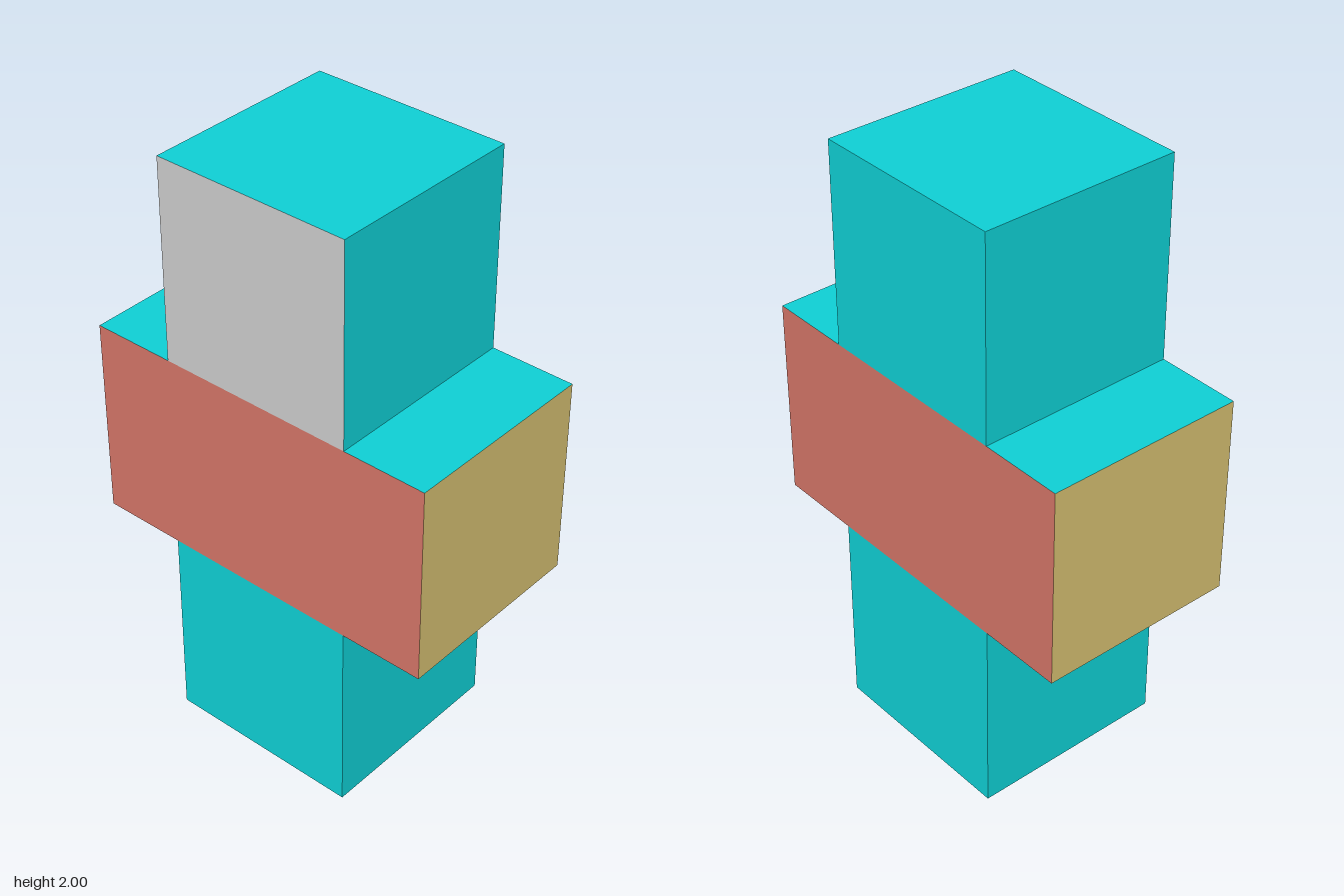
import * as THREE from 'three';

const paint = (color) => new THREE.MeshStandardMaterial({ color });

export function createModel() {
  const model = new THREE.Group();
  model.name = 'stackedFigure';

  const teal = paint(0x0fcfd4);
  const red = paint(0xd37567);
  const ochre = paint(0xd3be70);
  const grey = paint(0xcccccc);

  const S = 2 / 3; // height and depth of every block

  // One block of the stack; face materials run +x, -x, +y, -y, +z, -z
  function block(name, level, width, faces) {
    const mesh = new THREE.Mesh(new THREE.BoxGeometry(width, S, S), faces);
    mesh.name = name;
    mesh.position.y = (level + 0.5) * S;
    model.add(mesh);
  }

  // Plain base
  block('legs', 0, S, teal);
  // Wide middle: red front and back, ochre ends
  block('torso', 1, 1.23, [ochre, ochre, teal, teal, red, red]);
  // Top cube with a grey face
  block('head', 2, S, [teal, teal, teal, teal, grey, teal]);

  return model;
}
